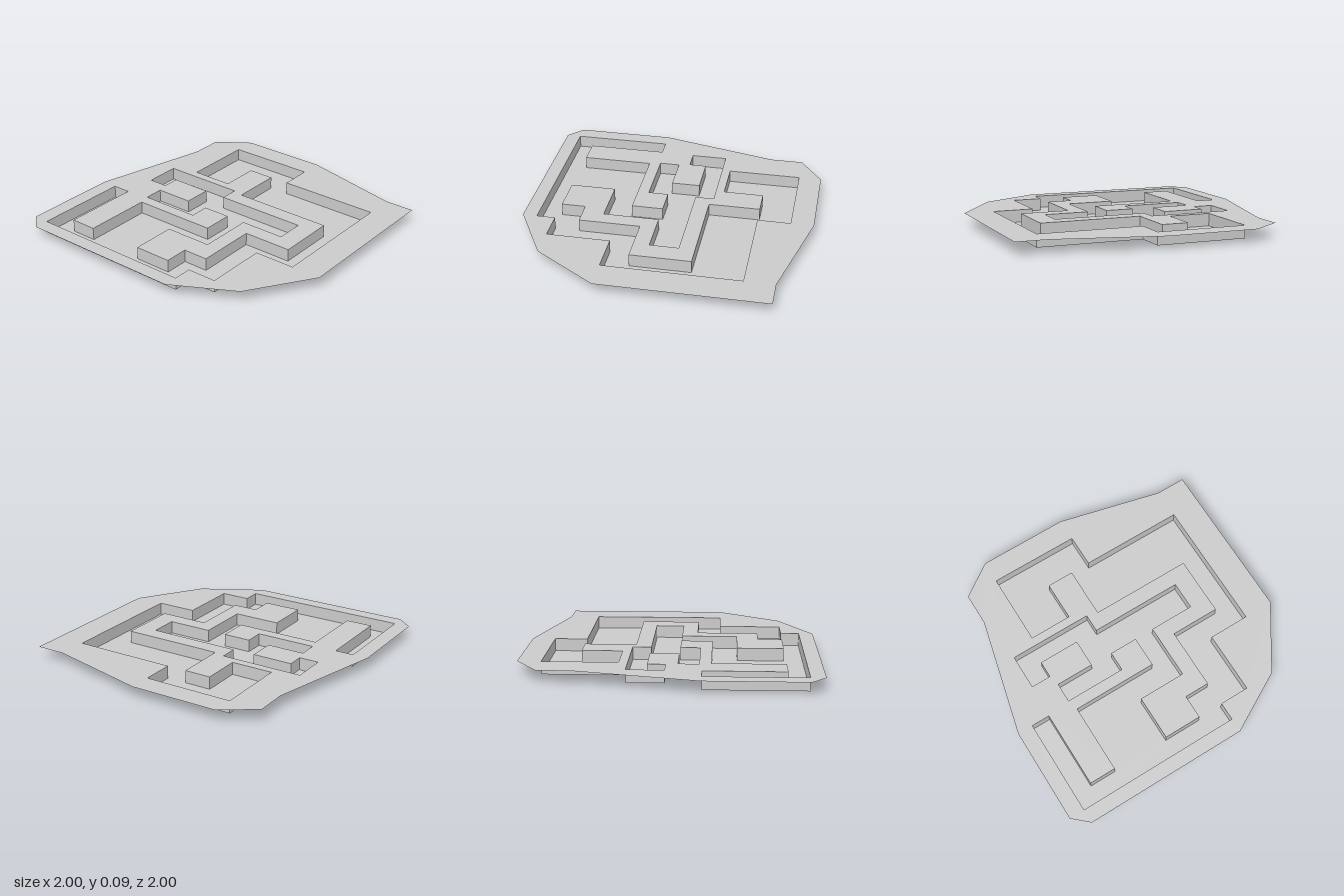
import * as THREE from 'three';

const HEIGHT = 0.088;

// Rim outline as [x, z]
const RIM = [
  [-0.57, -1], [0.06, -1], [0.79, -0.82], [1, -0.82], [1, 0.33], [0.71, 0.77],
  [0.29, 1], [-0.89, 1], [-1, 0.9], [-1, 0.22], [-0.8, -0.61], [-0.8, -0.84],
];

// Right-angled corridor outline: alternating x and z, each step changes one of them
const STEPS = [
  -0.57, -0.84, 0.06, -0.61, 0.79, 0.33, 0.5, 0.77, 0.29, 0.9, -0.89, 0.22,
  -0.76, 0.77, -0.57, 0.28, 0.04, 0.06, -0.16, 0.2, -0.59, 0.06, -0.32, -0.14,
  -0.61, -0.02, -0.75, -0.27, -0.16, -0.14, 0.5, 0.06, 0.18, 0.45, -0.16, 0.77,
  0.11, 0.6, 0.29, 0.17, 0.64, -0.25, -0.08, -0.61, -0.27, -0.33,
];
const CORRIDOR = STEPS.map((v, i) => {
  const next = STEPS[(i + 1) % STEPS.length];
  return i % 2 === 0 ? [v, next] : [next, v];
});

const toPoints = (outline) => outline.map(([x, z]) => new THREE.Vector2(x, -z));

// Flat horizontal sheet, facing up
function sheet(shape, y) {
  return new THREE.ShapeGeometry(shape).rotateX(-Math.PI / 2).translate(0, y, 0);
}

export function createModel() {
  const group = new THREE.Group();
  group.name = 'mazeFloorPlan';
  const material = new THREE.MeshStandardMaterial({
    color: 0xcccccc, flatShading: true, side: THREE.DoubleSide,
  });
  const add = (name, geometry, parent = group) => {
    const mesh = new THREE.Mesh(geometry, material);
    mesh.name = name;
    parent.add(mesh);
    return mesh;
  };

  // Sunken corridor floor
  add('floor', sheet(new THREE.Shape(toPoints(CORRIDOR)), 0));

  // Upper sheet with the corridors cut out
  const rim = new THREE.Shape(toPoints(RIM));
  rim.holes.push(new THREE.Path(toPoints(CORRIDOR)));
  add('upperSheet', sheet(rim, HEIGHT));

  // One thin upright wall per corridor edge, facing into the corridor
  const walls = new THREE.Group();
  walls.name = 'walls';
  group.add(walls);
  CORRIDOR.forEach(([x0, z0], i) => {
    const [x1, z1] = CORRIDOR[(i + 1) % CORRIDOR.length];
    const wall = add('wall', new THREE.PlaneGeometry(Math.hypot(x1 - x0, z1 - z0), HEIGHT), walls);
    wall.position.set((x0 + x1) / 2, HEIGHT / 2, (z0 + z1) / 2);
    wall.rotation.y = -Math.atan2(z1 - z0, x1 - x0);
  });

  return group;
}
